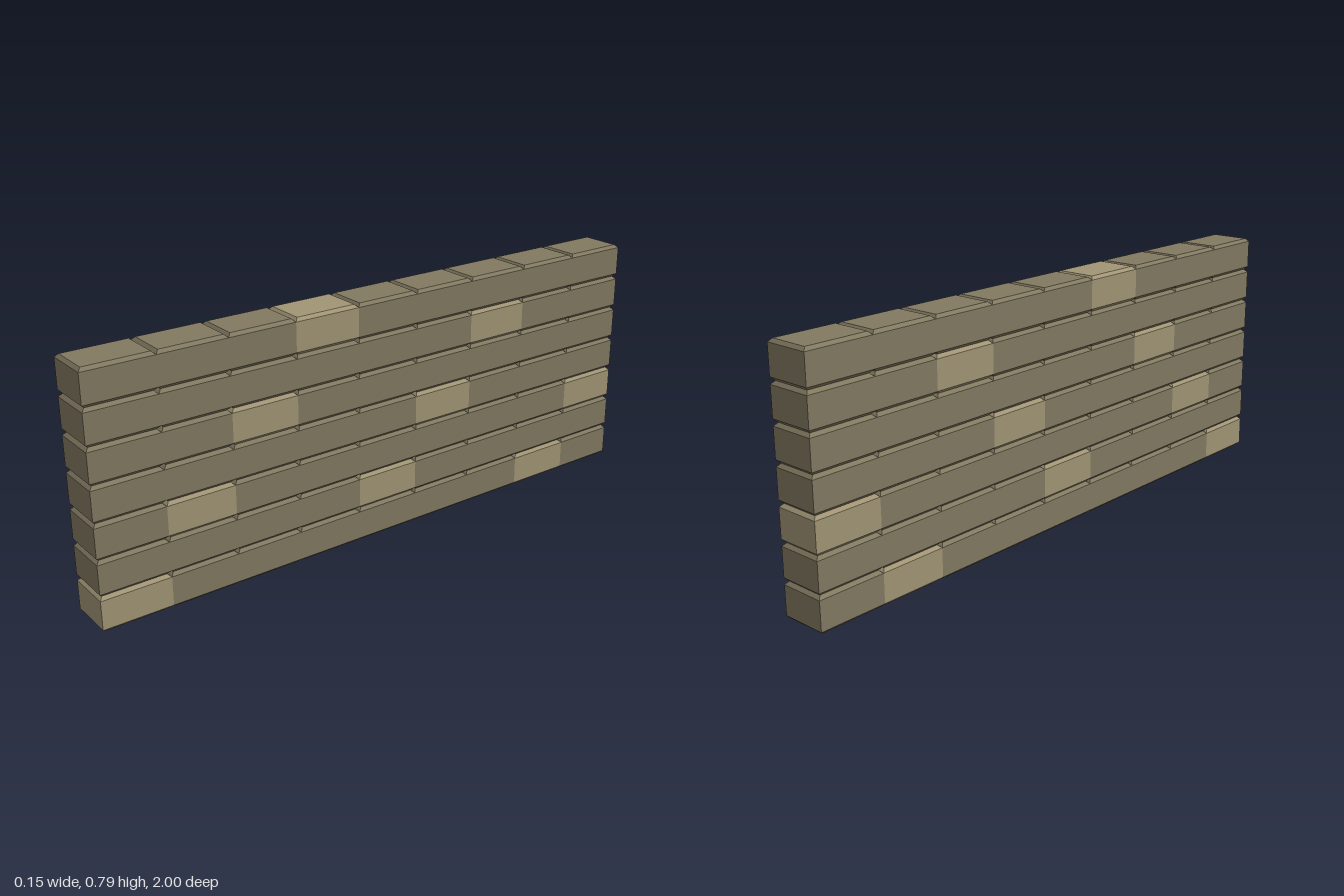
import * as THREE from 'three';

const ROWS = 7, COLS = 9;
const WIDTH = 0.148, HEIGHT = 0.785 / ROWS, LENGTH = 2 / COLS, BEVEL = 0.01;

// Columns of the paler blocks in each course, counted from the front
const PALE = [[0, 7], [4], [1, 8], [5], [2], [6], [3]];

// Block with straight sides, bevelled around its top and bottom faces
function blockGeometry() {
  const box = new THREE.BoxGeometry(WIDTH, HEIGHT, LENGTH, 1, 3, 1);
  const p = box.attributes.position;
  for (let i = 0; i < p.count; i++) {
    const y = p.getY(i);
    if (Math.abs(y) > HEIGHT * 0.4) {
      p.setX(i, Math.sign(p.getX(i)) * (WIDTH / 2 - BEVEL));
      p.setZ(i, Math.sign(p.getZ(i)) * (LENGTH / 2 - BEVEL));
    } else {
      p.setY(i, Math.sign(y) * (HEIGHT / 2 - BEVEL));
    }
  }
  const flat = box.toNonIndexed();
  flat.computeVertexNormals();
  return flat;
}

export function createModel() {
  const wall = new THREE.Group();
  wall.name = 'blockWall';
  const geometry = blockGeometry();
  const dark = new THREE.MeshStandardMaterial({ color: 0x827961, flatShading: true });
  const pale = new THREE.MeshStandardMaterial({ color: 0xa19575, flatShading: true });

  // Courses stacked from the ground, each laid from front to back
  for (let r = 0; r < ROWS; r++) {
    const course = new THREE.Group();
    course.name = `course${r + 1}`;
    course.position.y = (r + 0.5) * HEIGHT;
    for (let c = 0; c < COLS; c++) {
      const isPale = PALE[r].includes(c);
      const block = new THREE.Mesh(geometry, isPale ? pale : dark);
      block.name = isPale ? 'paleBlock' : 'darkBlock';
      block.position.z = 1 - (c + 0.5) * LENGTH;
      course.add(block);
    }
    wall.add(course);
  }
  return wall;
}
